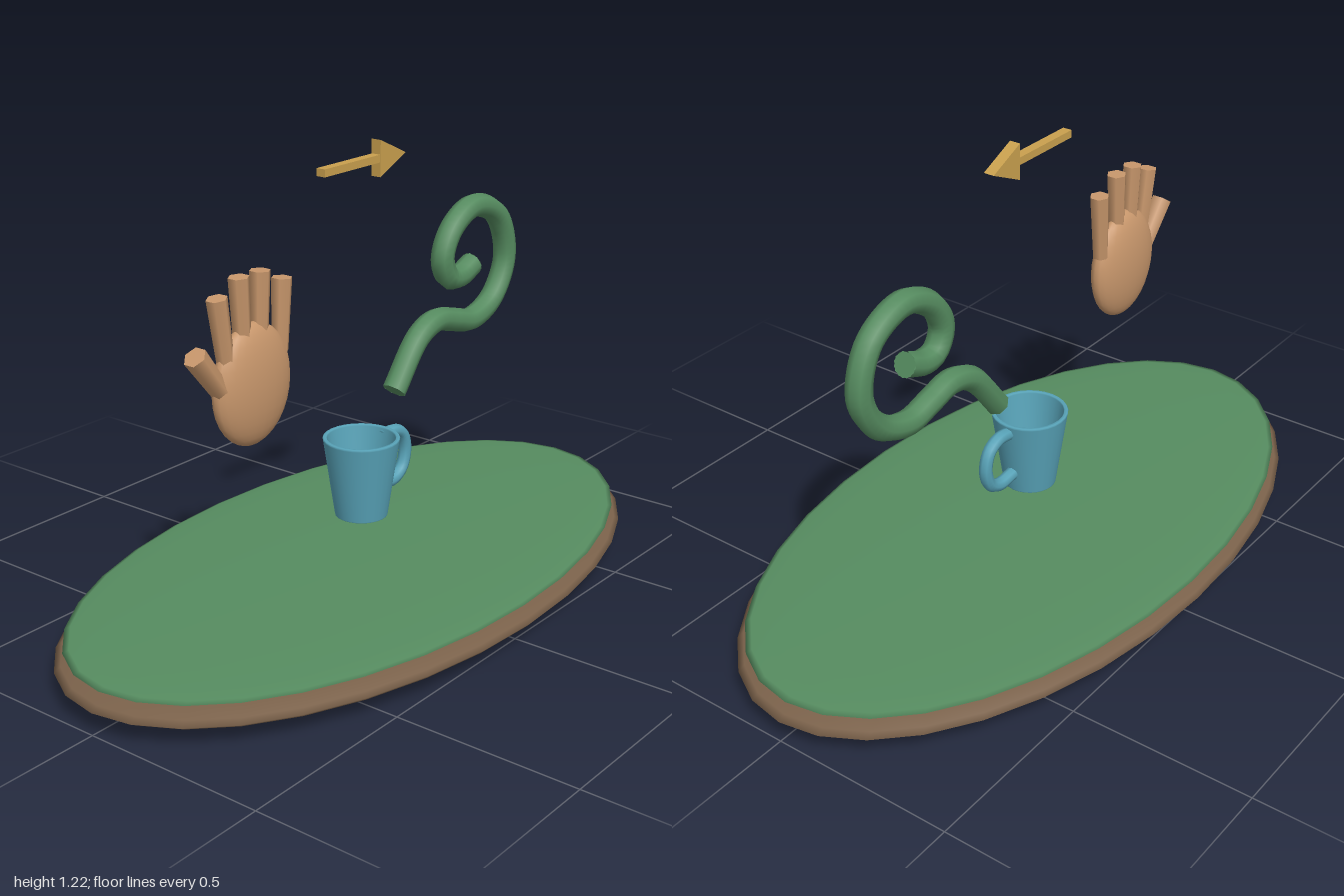
import * as THREE from 'three';

const mat = (color) => new THREE.MeshStandardMaterial({ color, side: THREE.DoubleSide });
const brown = mat(0x7a614a), green = mat(0x568c60), blue = mat(0x58a3b8);
const skin = mat(0xc8976c), gold = mat(0xc9a04e);
const V = (x, y, z = 0) => new THREE.Vector3(x, y, z);

function add(parent, name, geometry, material, x = 0, y = 0, z = 0) {
  const mesh = new THREE.Mesh(geometry, material);
  mesh.name = name;
  mesh.position.set(x, y, z);
  parent.add(mesh);
  return mesh;
}

function ellipsoid(rx, ry, rz, segments, rings) {
  return new THREE.SphereGeometry(1, segments, rings).scale(rx, ry, rz);
}

// Cylinder running between two points, r0 at the start and r1 at the end
function limb(parent, name, a, b, r0, r1, sides, material) {
  const d = b.clone().sub(a);
  const mesh = add(parent, name, new THREE.CylinderGeometry(r1, r0, d.length(), sides), material);
  mesh.position.copy(a).add(b).multiplyScalar(0.5);
  mesh.quaternion.setFromUnitVectors(V(0, 1), d.normalize());
  return mesh;
}

// Tube along points, with flat discs closing both ends
function cappedTube(parent, name, points, radius, steps, sides, material) {
  const curve = new THREE.CatmullRomCurve3(points);
  const group = new THREE.Group();
  group.name = name;
  add(group, name + 'Body', new THREE.TubeGeometry(curve, steps, radius, sides), material);
  for (const t of [0, 1]) {
    const cap = add(group, name + 'End', new THREE.CircleGeometry(radius, sides), material);
    cap.position.copy(curve.getPointAt(t));
    cap.quaternion.setFromUnitVectors(V(0, 0, 1), curve.getTangentAt(t).multiplyScalar(t ? 1 : -1));
  }
  parent.add(group);
}

export function createModel() {
  const model = new THREE.Group();
  model.name = 'floatingObjectsOverIsland';

  // Flattened oval ground with a grassy layer on top
  add(model, 'earthBase', ellipsoid(1, 0.058, 0.545, 32, 16), brown, 0, 0.06);
  add(model, 'grassTop', ellipsoid(0.975, 0.018, 0.525, 32, 16), green, 0, 0.105);

  // Hollow cup; doubled profile points keep the rim and foot crisp
  const cup = new THREE.Group();
  cup.name = 'cup';
  const profile = [
    [0, 0.217], [0.07, 0.217], [0.0705, 0.217], [0.071, 0.219], [0.102, 0.43], [0.103, 0.433],
    [0.101, 0.436], [0.093, 0.436], [0.091, 0.432], [0.064, 0.245], [0.055, 0.235], [0, 0.233],
  ].map(([r, y]) => new THREE.Vector2(r, y));
  add(cup, 'cupBody', new THREE.LatheGeometry(profile, 28), blue);
  cappedTube(cup, 'cupHandle', [
    V(0.09, 0.408), V(0.14, 0.412), V(0.178, 0.392), V(0.193, 0.345),
    V(0.178, 0.295), V(0.14, 0.272), V(0.078, 0.276),
  ], 0.018, 28, 8, blue);
  model.add(cup);

  // Open hand: oval palm, four fingers and a thumb
  const hand = new THREE.Group();
  hand.name = 'hand';
  add(hand, 'palm', ellipsoid(0.133, 0.156, 0.048, 24, 16), skin, -0.428, 0.702);
  const fingers = [
    [-0.515, 0.76, -0.543, 0.943], [-0.456, 0.78, -0.466, 0.978],
    [-0.397, 0.78, -0.39, 0.978], [-0.322, 0.76, -0.311, 0.943],
  ];
  for (const [x0, y0, x1, y1] of fingers)
    limb(hand, 'finger', V(x0, y0), V(x1, y1), 0.022, 0.027, 6, skin);
  limb(hand, 'thumb', V(-0.52, 0.69), V(-0.622, 0.82), 0.024, 0.03, 6, skin);
  model.add(hand);

  // Curled vine
  cappedTube(model, 'curledVine', [
    V(0.142, 0.525), V(0.25, 0.65), V(0.33, 0.678), V(0.41, 0.66), V(0.495, 0.642),
    V(0.6, 0.683), V(0.66, 0.79), V(0.618, 0.915), V(0.497, 0.967), V(0.395, 0.92),
    V(0.357, 0.845), V(0.385, 0.788), V(0.435, 0.78), V(0.497, 0.803),
  ], 0.033, 72, 8, green);

  // Floating arrow: bar with a flat triangular head
  const arrow = new THREE.Group();
  arrow.name = 'arrow';
  add(arrow, 'arrowShaft', new THREE.BoxGeometry(0.22, 0.02, 0.026), gold, -0.05, 1.173);
  const head = new THREE.Shape([[0, -0.048], [0.105, 0], [0, 0.048]].map(([x, y]) => new THREE.Vector2(x, y)));
  add(arrow, 'arrowHead', new THREE.ExtrudeGeometry(head, { depth: 0.03, bevelEnabled: false }),
    gold, 0.06, 1.173, -0.015);
  model.add(arrow);

  return model;
}
